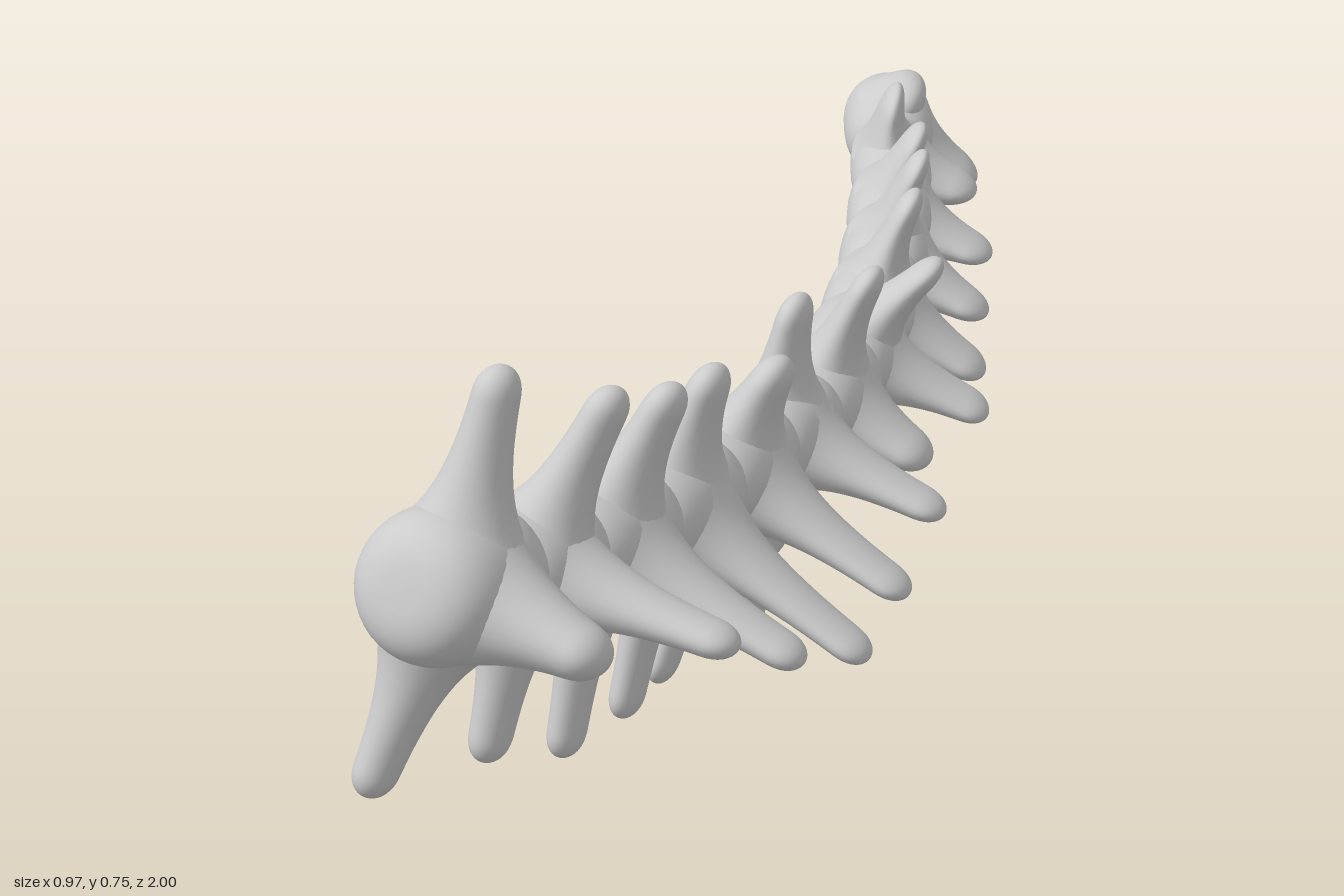
import * as THREE from 'three';

const V = (a) => new THREE.Vector3(...a);
const lerp = THREE.MathUtils.lerp;

// Disc positions between the bones, front to back
const joints = [
  [-0.415, 0.54, 0.92], [-0.325, 0.48, 0.80], [-0.237, 0.437, 0.69], [-0.142, 0.39, 0.555],
  [-0.052, 0.345, 0.41], [0.03, 0.305, 0.26], [0.103, 0.268, 0.13], [0.17, 0.24, -0.02],
  [0.22, 0.22, -0.16], [0.27, 0.195, -0.33], [0.305, 0.168, -0.50], [0.335, 0.15, -0.66],
  [0.36, 0.125, -0.84], [0.375, 0.115, -0.978],
].map(V);

// Tips of the three processes of each bone
const upTips = [
  [-0.31, 0.75, 0.83], [-0.18, 0.662, 0.735], [-0.105, 0.60, 0.625], [-0.043, 0.545, 0.49],
  [0.05, 0.472, 0.355], [0.09, 0.47, 0.20], [0.20, 0.43, 0.075], [0.30, 0.362, -0.06],
  [0.30, 0.367, -0.24], [0.333, 0.34, -0.39], [0.36, 0.29, -0.565], [0.355, 0.262, -0.74],
  [0.412, 0.187, -0.89],
].map(V);
const downTips = [
  [-0.47, 0.28, 0.905], [-0.333, 0.236, 0.785], [-0.237, 0.155, 0.66], [-0.155, 0.112, 0.52],
  [-0.10, 0.067, 0.38], [0.025, 0.022, 0.22], [0.07, 0.048, 0.08], [0.115, 0.085, -0.08],
  [0.20, 0.06, -0.23], [0.205, 0.06, -0.40], [0.28, 0.025, -0.55], [0.338, 0.0, -0.715],
  [0.36, 0.03, -0.88],
].map(V);
const sideTips = [
  [-0.22, 0.47, 0.98], [-0.067, 0.408, 0.865], [0.02, 0.312, 0.75], [0.112, 0.23, 0.62],
  [0.182, 0.212, 0.46], [0.252, 0.212, 0.285], [0.26, 0.19, 0.125], [0.36, 0.155, -0.045],
  [0.38, 0.13, -0.19], [0.41, 0.125, -0.35], [0.445, 0.115, -0.525], [0.457, 0.112, -0.715],
  [0.487, 0.045, -0.885],
].map(V);

// Rounded bone body; its domed ends sink into the neighbours
function bodyGeometry(R, half) {
  const pts = [];
  for (let i = 0; i <= 32; i++) {
    const y = -Math.cos((i / 32) * Math.PI);
    pts.push(new THREE.Vector2(R * Math.cbrt(Math.max(0, 1 - Math.abs(y) ** 3)), y * half));
  }
  return new THREE.LatheGeometry(pts, 40);
}

// Process: an oval loft that flares into the body and ends in a rounded tip
function processGeometry(center, tip, axis, R, h, wide, thin, reach, bow) {
  const mid = center.clone().lerp(tip, 0.5).add(bow);
  const curve = new THREE.QuadraticBezierCurve3(center, mid, tip);
  const L = curve.getLength();
  const rings = 32, sides = 28;
  const start = 0.5 * R, capLength = Math.min(0.035, L * 0.3);
  const positions = [], index = [];
  for (let i = 0; i <= rings; i++) {
    // rings crowd together towards the tip
    const d = start + (L - start) * Math.sin((i / rings) * Math.PI / 2);
    const p = curve.getPointAt(Math.min(d / L, 1));
    const t = curve.getTangentAt(Math.min(d / L, 1));
    const u = axis.clone().addScaledVector(t, -axis.dot(t)).normalize();
    const v = new THREE.Vector3().crossVectors(t, u);
    const k = Math.max(0, (d - (L - capLength)) / capLength);
    const cap = Math.sqrt(Math.max(1e-6, 1 - k ** 2.5));
    const flare = Math.exp(-(d - start) / (reach * R));
    const a = lerp(wide, Math.max(h, wide), flare) * cap;
    const b = lerp(thin, 0.9 * R, flare) * cap;
    for (let j = 0; j < sides; j++) {
      const w = (j / sides) * Math.PI * 2;
      const q = p.clone().addScaledVector(u, a * Math.cos(w)).addScaledVector(v, b * Math.sin(w));
      positions.push(q.x, q.y, q.z);
      if (i === rings) continue;
      const j2 = (j + 1) % sides;
      const A = i * sides + j, B = i * sides + j2, C = A + sides, D = B + sides;
      index.push(A, B, D, A, D, C);
    }
  }
  const g = new THREE.BufferGeometry();
  g.setAttribute('position', new THREE.Float32BufferAttribute(positions, 3));
  g.setIndex(index);
  g.computeVertexNormals();
  return g;
}

export function createModel() {
  const model = new THREE.Group();
  model.name = 'spine';
  const material = new THREE.MeshStandardMaterial({ color: 0xcccccc });
  const yAxis = new THREE.Vector3(0, 1, 0);
  const straight = new THREE.Vector3();
  const last = upTips.length - 1;

  for (let i = 0; i <= last; i++) {
    const f = i / last;
    const front = joints[i], back = joints[i + 1];
    const center = front.clone().lerp(back, 0.5);
    const axis = front.clone().sub(back);
    const h = axis.length() / 2;
    axis.normalize();
    // the two end bones are a little fuller
    const R = lerp(0.077, 0.053, f) * (i === 0 || i === last ? 1.14 : 1);

    const bone = new THREE.Group();
    bone.name = `vertebra${i + 1}`;
    const add = (name, geometry) => {
      const mesh = new THREE.Mesh(geometry, material);
      mesh.name = name;
      bone.add(mesh);
      return mesh;
    };

    const body = add('body', bodyGeometry(R, h * 1.3));
    body.position.copy(center);
    body.quaternion.setFromUnitVectors(yAxis, axis);

    // blades get thinner and broader towards the back end
    const thin = lerp(0.021, 0.009, f);
    const bow = new THREE.Vector3(-0.02 * f, 0.01 * f, 0);
    add('upperProcess', processGeometry(center, upTips[i], axis, R, h, lerp(0.028, 0.038, f), thin, 0.7, bow));
    add('lowerProcess', processGeometry(center, downTips[i], axis, R, h, lerp(0.028, 0.036, f), thin, 0.7, straight));
    add('sideProcess', processGeometry(center, sideTips[i], axis, R, h, lerp(0.032, 0.04, f), thin * 0.8, 0.95, straight));
    model.add(bone);
  }
  return model;
}
